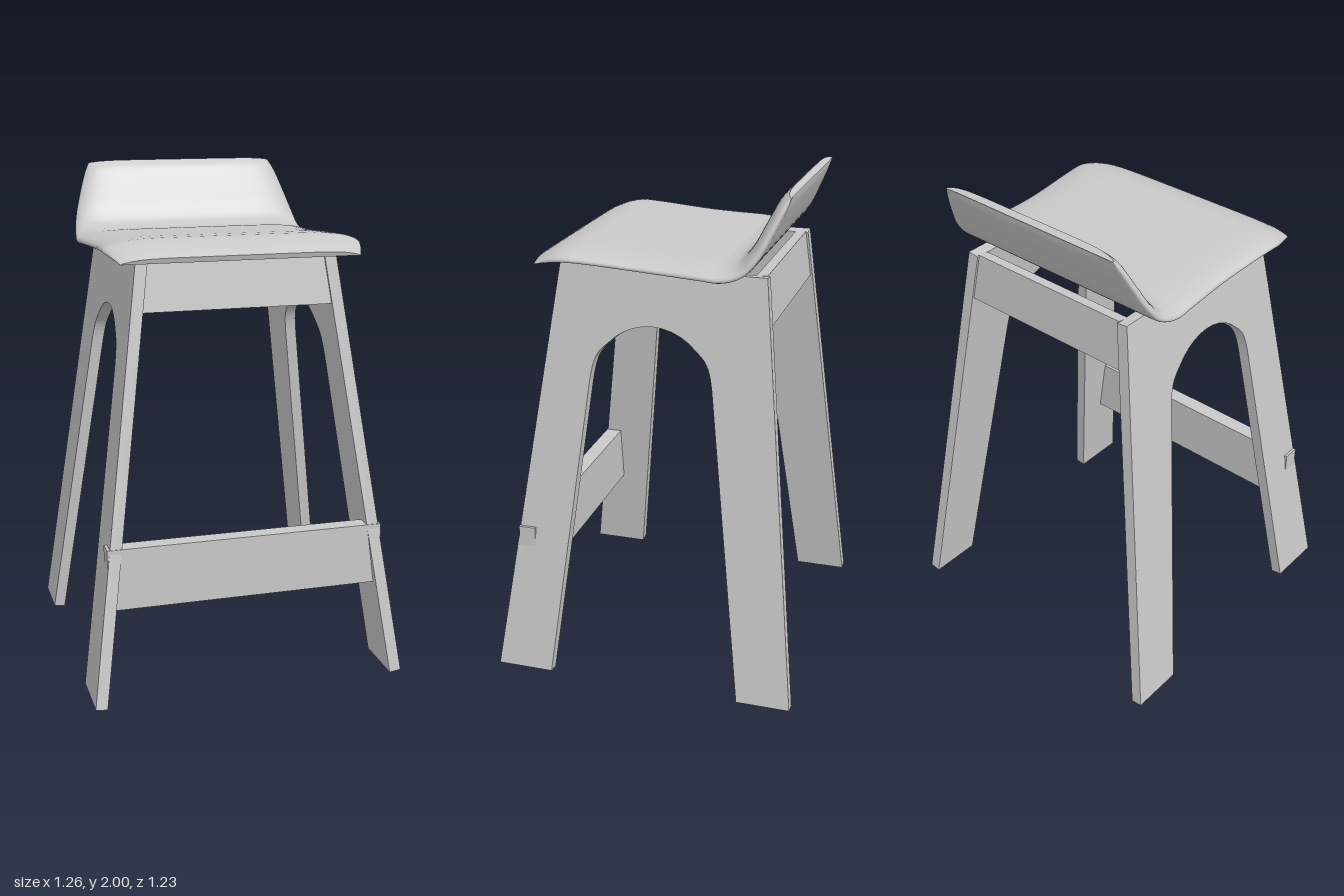
import * as THREE from 'three';

const LEAN = 0.138; // inward lean of the side panels
const grey = new THREE.MeshStandardMaterial({ color: 0xc8c8c8 });
grey.name = 'light grey';

function addMesh(group, name, geometry) {
  const mesh = new THREE.Mesh(geometry, grey);
  mesh.name = name;
  group.add(mesh);
  return mesh;
}

// Side panel: two legs joined by an arch, drawn with shape x = -z
function panelGeometry() {
  const top = 1.68 / Math.cos(LEAN);
  const s = new THREE.Shape();
  s.moveTo(-0.615, 0);
  s.lineTo(-0.385, 0);
  s.lineTo(-0.247, 1.23);
  s.bezierCurveTo(-0.235, 1.33, -0.222, 1.36, -0.18, 1.395);
  s.bezierCurveTo(-0.08, 1.505, 0.08, 1.505, 0.18, 1.395);
  s.bezierCurveTo(0.222, 1.36, 0.235, 1.33, 0.247, 1.23);
  s.lineTo(0.4, 0);
  s.lineTo(0.615, 0);
  s.lineTo(0.435, top);
  s.lineTo(-0.375, top);
  s.closePath();
  const g = new THREE.ExtrudeGeometry(s, { depth: 0.047, bevelEnabled: false, curveSegments: 10 });
  return g.rotateY(Math.PI / 2);
}

// Symmetrical board from the corners of its +x half, listed bottom to top
function boardGeometry(half, depth) {
  const right = half.map(([x, y]) => new THREE.Vector2(x, y));
  const left = half.map(([x, y]) => new THREE.Vector2(-x, y)).reverse();
  return new THREE.ExtrudeGeometry(new THREE.Shape([...right, ...left]), { depth, bevelEnabled: false });
}

// Seat shell: rounded cross-sections swept from the front lip up the low back
function seatGeometry() {
  // half width, y, z, thickness
  const stations = [
    [0.47, 1.705, 0.457, 0.01], [0.492, 1.724, 0.4, 0.036], [0.51, 1.738, 0.33, 0.05],
    [0.507, 1.737, 0.25, 0.05], [0.494, 1.719, 0, 0.052], [0.502, 1.709, -0.2, 0.055],
    [0.504, 1.706, -0.28, 0.056], [0.495, 1.727, -0.345, 0.056], [0.482, 1.782, -0.393, 0.056],
    [0.455, 1.87, -0.438, 0.055], [0.425, 1.955, -0.478, 0.048], [0.405, 1.995, -0.5, 0.02],
  ];
  const path = new THREE.CatmullRomCurve3(stations.map(([w, y, z]) => new THREE.Vector3(w, y, z)));
  const thick = new THREE.CatmullRomCurve3(stations.map((p, i) => new THREE.Vector3(i * 0.1, p[3], 0)));
  const rows = 55, ring = 48;
  const pos = [], idx = [];
  const power = (v, e) => Math.sign(v) * Math.abs(v) ** e;
  for (let i = 0; i <= rows; i++) {
    const t = i / rows;
    const p = path.getPoint(t), h = thick.getPoint(t).y / 2;
    const d = path.getPoint(Math.min(1, t + 0.01)).sub(path.getPoint(Math.max(0, t - 0.01)));
    const len = Math.hypot(d.y, d.z);
    const ny = -d.z / len, nz = d.y / len;
    for (let j = 0; j < ring; j++) {
      const a = (j / ring) * Math.PI * 2;
      const u = power(Math.cos(a), 0.3);
      const off = h * power(Math.sin(a), 0.8) - 0.016 * Math.abs(u) ** 8;
      pos.push(p.x * u, p.y + ny * off, p.z + nz * off);
    }
  }
  for (let i = 0; i < rows; i++) {
    for (let j = 0; j < ring; j++) {
      const k = (j + 1) % ring;
      const a = i * ring + j, b = i * ring + k, c = a + ring, e = b + ring;
      idx.push(a, c, b, b, c, e);
    }
  }
  // End caps with their own vertices so the edges stay crisp
  for (const row of [0, rows]) {
    const base = pos.length / 3;
    for (let j = 0; j < ring; j++) {
      const o = (row * ring + j) * 3;
      pos.push(pos[o], pos[o + 1], pos[o + 2]);
    }
    for (let j = 1; j < ring - 1; j++) {
      if (row === 0) idx.push(base, base + j, base + j + 1);
      else idx.push(base, base + j + 1, base + j);
    }
  }
  const g = new THREE.BufferGeometry();
  g.setAttribute('position', new THREE.Float32BufferAttribute(pos, 3));
  g.setIndex(idx);
  g.computeVertexNormals();
  return g;
}

export function createModel() {
  const stool = new THREE.Group();
  stool.name = 'barStool';

  addMesh(stool, 'seat', seatGeometry());

  // Leaning side panels
  for (const side of [1, -1]) {
    const g = panelGeometry();
    if (side < 0) g.translate(-0.047, 0, 0);
    const panel = addMesh(stool, side > 0 ? 'leftLegPanel' : 'rightLegPanel', g);
    panel.position.x = side * 0.585;
    panel.rotation.z = side * LEAN;
  }

  // Rails under the seat, tilted with the leg edges
  const rail = [[0.382, 0], [0.355, 0.195]];
  const front = addMesh(stool, 'frontRail', boardGeometry(rail, 0.045));
  front.position.set(0, 1.49, 0.348);
  front.rotation.x = -0.142;
  const back = addMesh(stool, 'backRail', boardGeometry(rail, 0.045));
  back.position.set(0, 1.49, -0.447);
  back.rotation.x = 0.107;

  // Footrest with end tabs notched through the front legs
  const foot = [[0.536, 0.37], [0.518, 0.5], [0.558, 0.5], [0.558, 0.617]];
  addMesh(stool, 'footrest', boardGeometry(foot, 0.068)).position.z = 0.462;

  return stool;
}
